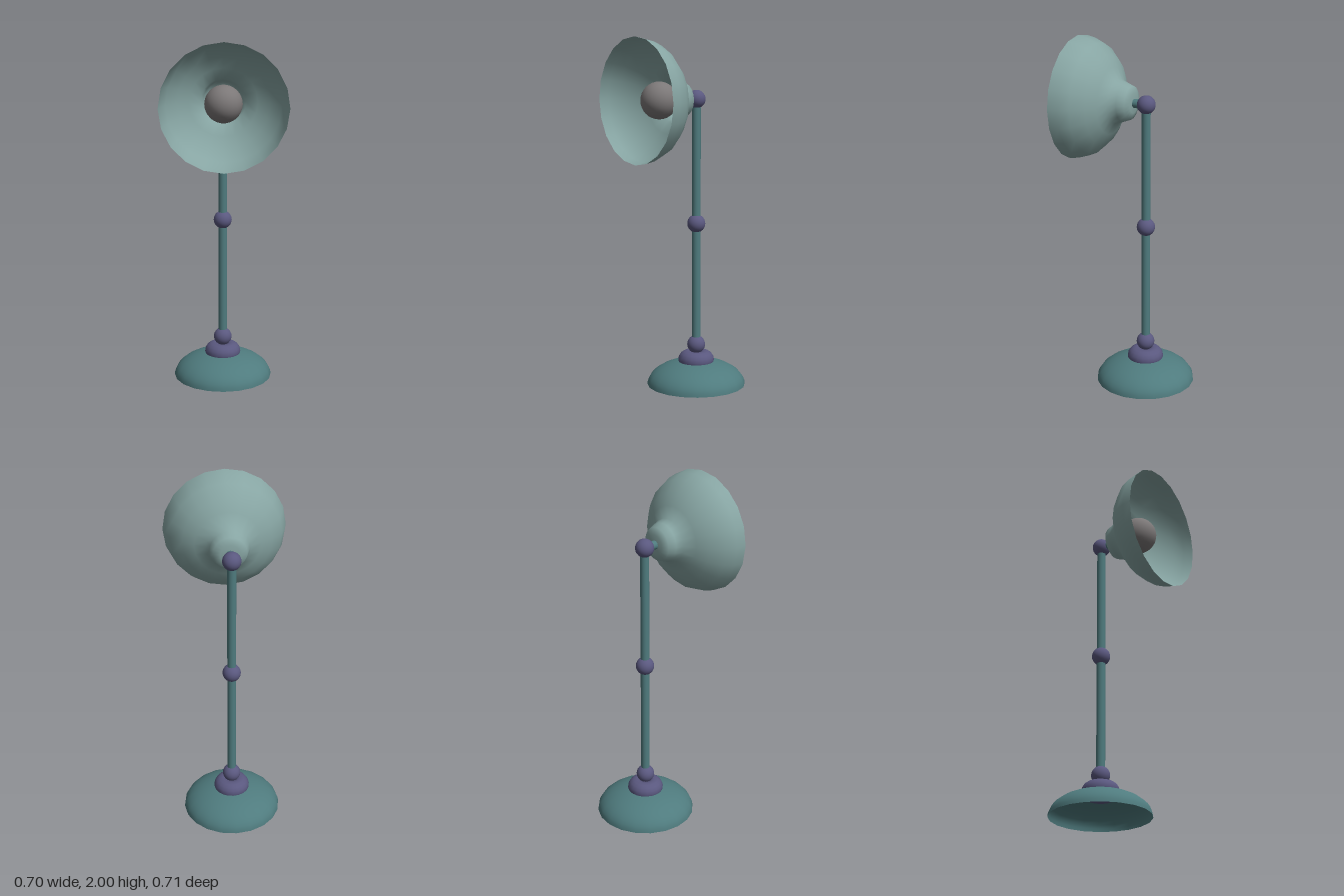
import * as THREE from 'three';

const material = (color, side = THREE.FrontSide) => new THREE.MeshStandardMaterial({ color, side });

export function createModel() {
  const lamp = new THREE.Group();
  lamp.name = 'deskLamp';

  const teal = material(0x4f7b7e);
  const tealThin = material(0x4f7b7e, THREE.DoubleSide);
  const pale = material(0x87a5a3, THREE.DoubleSide);
  const violet = material(0x5a587f);
  const glass = material(0x7c7878);

  const poleZ = -0.07, headY = 1.653;

  const add = (name, geometry, mat, x, y, z) => {
    const mesh = new THREE.Mesh(geometry, mat);
    mesh.name = name;
    mesh.position.set(x, y, z);
    lamp.add(mesh);
    return mesh;
  };
  const lathe = (pairs, sides = 20) =>
    new THREE.LatheGeometry(pairs.map(([r, h]) => new THREE.Vector2(r, h)), sides);

  // Hollow domed foot, open underneath
  const dome = [];
  for (let i = 0; i <= 12; i++) {
    const a = (i / 12) * Math.PI / 2;
    dome.push([i === 12 ? 0 : 0.284 * Math.cos(a), 0.145 * Math.sin(a)]);
  }
  add('base', lathe(dome), tealThin, 0, 0, poleZ);

  // Ring collar sunk into the top of the foot
  add('collar', new THREE.TorusGeometry(0.052, 0.052, 16, 20).rotateX(Math.PI / 2),
    violet, 0, 0.145, poleZ);

  // Ball joints, with a pole between each pair
  const jointHeights = [0.235, 0.944, headY];
  jointHeights.forEach((y, i) => {
    add(`joint${i + 1}`, new THREE.SphereGeometry(0.052, 24, 16), violet, 0, y, poleZ);
    if (i === 0) return;
    const below = jointHeights[i - 1];
    add(`pole${i}`, new THREE.CylinderGeometry(0.025, 0.025, y - below, 20),
      teal, 0, (y + below) / 2, poleZ);
  });

  // Short stem from the top joint into the shade
  add('shadeStem', new THREE.CylinderGeometry(0.025, 0.025, 0.09, 20).rotateX(Math.PI / 2),
    teal, 0, headY, poleZ + 0.045);

  // Bell shade, turned along z and open at the front
  add('shade', lathe([
    [0, 0.004], [0.055, 0.005], [0.094, 0.02], [0.11, 0.062], [0.125, 0.104],
    [0.188, 0.139], [0.251, 0.175], [0.313, 0.24], [0.338, 0.299], [0.349, 0.353],
  ]).rotateX(Math.PI / 2), pale, 0, headY, 0);

  // Bulb with its neck seated in the back of the shade
  add('bulb', new THREE.SphereGeometry(0.104, 24, 16), glass, 0, headY, 0.19);
  add('bulbNeck', new THREE.CylinderGeometry(0.065, 0.055, 0.13, 20).rotateX(Math.PI / 2),
    glass, 0, headY, 0.075);

  return lamp;
}
